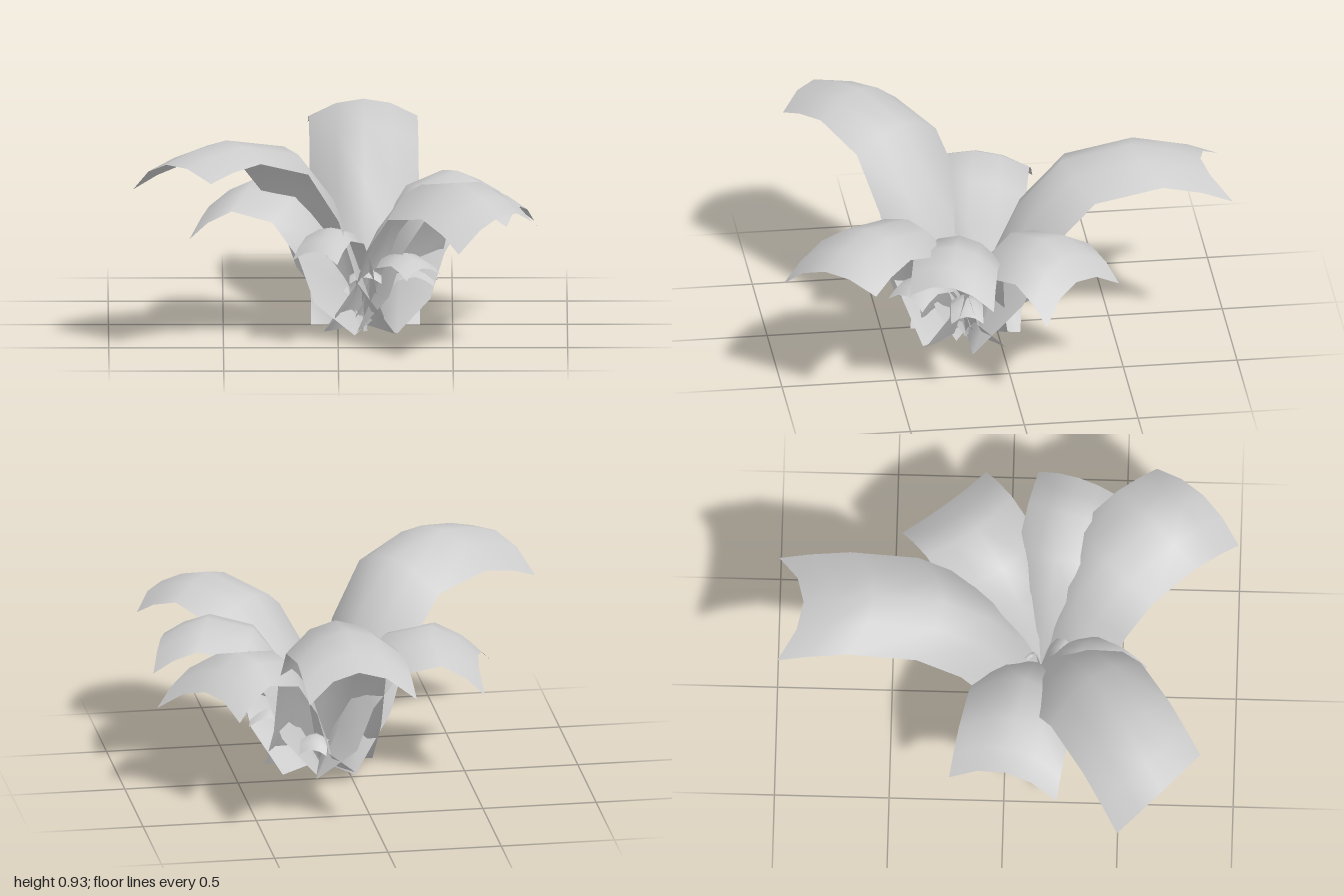
import * as THREE from 'three';

const ORIGIN = { x: 0.12, z: 0.145 };
const ACROSS = 4;

// Arched strip: rises from a flat base, bends over at `peak`, ends `reach` away.
// dir: [x, z] heading, tip: tip height / peak, out: how far tip corners stick out, roll: sideways tilt
function leafGeometry({ dir, reach, peak, tip, width, out = 0, roll = 0, base = 0.03 }) {
  const len = Math.hypot(dir[0], dir[1]);
  const dx = dir[0] / len, dz = dir[1] / len;
  const half = width / 2;
  const ridge = [
    [0, base], [0.1, 0.4 * peak], [0.22, 0.7 * peak], [0.41, 0.935 * peak],
    [0.7, peak], [0.87, peak * (1 - (1 - tip) * 0.42)], [1, peak * tip],
  ];
  const pos = [], index = [];
  ridge.forEach(([s, y], i) => {
    // Edges curl outward and down, except along the straight base
    const edgeOut = i ? THREE.MathUtils.lerp(0.5 * half, out, Math.pow(s, 0.8)) : 0;
    const edgeDown = i ? 0.42 * half : 0;
    for (let j = 0; j <= ACROSS; j++) {
      const u = (j / ACROSS) * 2 - 1;
      const arch = Math.pow(Math.abs(u), 2);
      const tilt = roll * half * u * s;
      const r = s * reach + edgeOut * arch + tilt;
      pos.push(ORIGIN.x + dx * r - dz * half * u, y - edgeDown * arch - tilt, ORIGIN.z + dz * r + dx * half * u);
      if (i && j) {
        const a = i * (ACROSS + 1) + j, b = a - ACROSS - 1;
        index.push(b - 1, a - 1, b, b, a - 1, a);
      }
    }
  });
  const g = new THREE.BufferGeometry();
  g.setAttribute('position', new THREE.Float32BufferAttribute(pos, 3));
  g.setIndex(index);
  g.computeVertexNormals();
  return g;
}

export function createModel() {
  const model = new THREE.Group();
  model.name = 'leafyPlant';
  const material = new THREE.MeshStandardMaterial({ color: 0xcccccc, side: THREE.DoubleSide });

  const add = (name, spec) => {
    const mesh = new THREE.Mesh(leafGeometry(spec), material);
    mesh.name = name;
    model.add(mesh);
  };

  // Large outer leaves
  add('backLeaf', { dir: [-0.01, -1], reach: 1.035, peak: 0.885, tip: 0.9, width: 0.475, out: 0.11 });
  add('frontRightLeaf', { dir: [-0.844, 0.536], reach: 1.03, peak: 0.93, tip: 0.92, width: 0.48, out: -0.03, roll: 0.2 });
  add('frontLeftLeaf', { dir: [0.645, 0.764], reach: 0.905, peak: 0.76, tip: 0.86, width: 0.48, out: -0.03, roll: 0.15 });
  add('rightLeaf', { dir: [-0.978, -0.2], reach: 0.695, peak: 0.66, tip: 0.8, width: 0.48, out: 0.04 });
  add('backLeftLeaf', { dir: [0.81, -0.59], reach: 0.705, peak: 0.655, tip: 0.8, width: 0.47, out: 0.04, roll: 0.08 });
  add('leftLeaf', { dir: [0.97, 0.21], reach: 0.69, peak: 0.68, tip: 0.86, width: 0.37, roll: -0.12 });

  // Medium and small inner leaves
  add('frontMediumLeaf', { dir: [-0.47, 0.88], reach: 0.46, peak: 0.52, tip: 0.84, width: 0.22, out: 0.01 });
  add('frontSmallLeaf', { dir: [0.65, 0.76], reach: 0.38, peak: 0.39, tip: 0.87, width: 0.2, out: 0.01 });
  add('leftSmallLeaf', { dir: [1, 0.1], reach: 0.3, peak: 0.29, tip: 0.85, width: 0.14, out: 0.01 });
  add('rightSmallLeaf', { dir: [-1, 0.25], reach: 0.22, peak: 0.23, tip: 0.85, width: 0.12 });
  add('backSmallLeaf', { dir: [0.3, -1], reach: 0.2, peak: 0.2, tip: 0.75, width: 0.12 });

  // Short upright shoots at the heart
  add('frontShoot', { dir: [0, 1], reach: 0.15, peak: 0.3, tip: 0.9, width: 0.14 });
  add('backShoot', { dir: [-0.6, -0.8], reach: 0.08, peak: 0.26, tip: 0.95, width: 0.02, base: 0 });

  return model;
}
